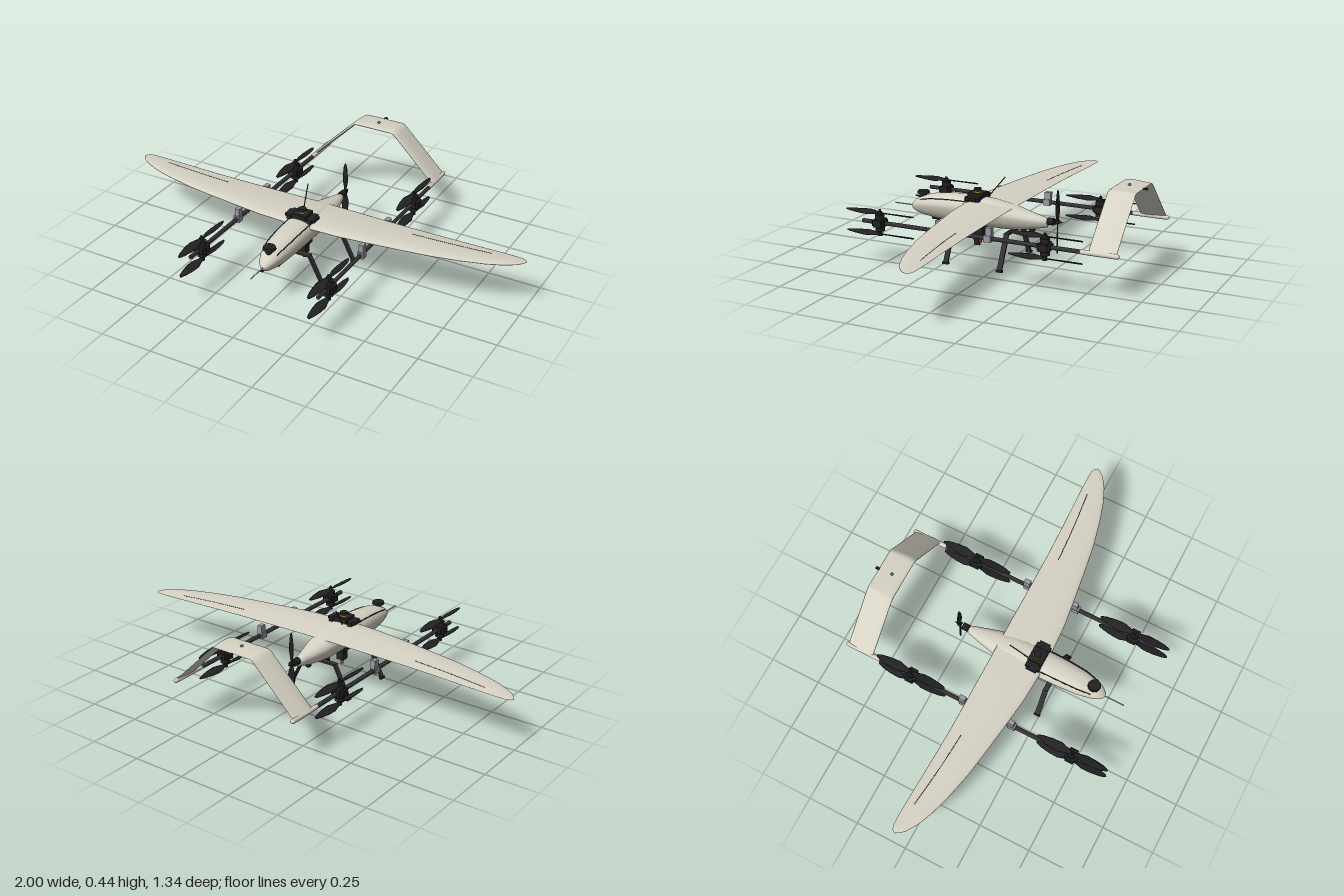
import * as THREE from 'three';

const paint = (color) => new THREE.MeshStandardMaterial({ color });
const shell = paint(0xd6d2c4), black = paint(0x222224), carbon = paint(0x333336);
const grey = paint(0xcccccc), bracketGrey = paint(0x9a9aa2);
const red = paint(0xb82a22), yellow = paint(0xd8c020), green = paint(0x2f8f55);
const V = (x, y, z) => new THREE.Vector3(x, y, z);

function add(parent, name, geometry, material, x = 0, y = 0, z = 0) {
  const mesh = new THREE.Mesh(geometry, material);
  mesh.name = name;
  mesh.position.set(x, y, z);
  parent.add(mesh);
  return mesh;
}
const box = (w, h, d) => new THREE.BoxGeometry(w, h, d);
const cyl = (r1, r2, h, n = 20) => new THREE.CylinderGeometry(r1, r2, h, n);

// Skin through closed rings of points
function loft(rings) {
  const n = rings[0].length, index = [];
  for (let i = 0; i < rings.length - 1; i++) {
    for (let j = 0; j < n; j++) {
      const a = i * n + j, b = i * n + (j + 1) % n;
      index.push(a, a + n, b, b, a + n, b + n);
    }
  }
  const g = new THREE.BufferGeometry().setFromPoints(rings.flat());
  g.setIndex(index);
  g.computeVertexNormals();
  return g;
}
const ringOf = (n, f) => Array.from({ length: n }, (_, j) => f((j / n) * Math.PI * 2));

// Straight round bar between two points
function rod(parent, name, a, b, r, material) {
  const m = add(parent, name, cyl(r, r, a.distanceTo(b), 10), material);
  m.position.copy(a).add(b).multiplyScalar(0.5);
  m.quaternion.setFromUnitVectors(V(0, 1, 0), b.clone().sub(a).normalize());
  return m;
}
const seam = (points, r = 0.0015) =>
  new THREE.TubeGeometry(new THREE.CatmullRomCurve3(points), 32, r, 5);

// Airfoil: angle 0 is the trailing edge, the first half runs over the top
function airfoil(a, thickness) {
  const u = (1 + Math.cos(a)) / 2;
  const t = 5 * thickness * (0.2969 * Math.sqrt(u) - 0.126 * u - 0.3516 * u * u + 0.2843 * u ** 3 - 0.1015 * u ** 4);
  return { u, t: a <= Math.PI ? t * 1.1 : -t * 0.9 };
}

// Fuselage stations: z, half width, bottom, top
const BODY = [
  [0.5, 0, 0.21, 0.21], [0.495, 0.016, 0.195, 0.226], [0.475, 0.032, 0.183, 0.245],
  [0.44, 0.047, 0.175, 0.264], [0.38, 0.061, 0.167, 0.281], [0.28, 0.068, 0.162, 0.292],
  [0.18, 0.07, 0.16, 0.294], [0.08, 0.07, 0.158, 0.29], [0, 0.066, 0.158, 0.278],
  [-0.06, 0.056, 0.162, 0.265], [-0.12, 0.041, 0.172, 0.25], [-0.17, 0.027, 0.183, 0.239],
  [-0.2, 0.018, 0.19, 0.232], [-0.205, 0, 0.211, 0.211],
];
function bodyPoint([z, w, lo, hi], a) {
  const c = Math.cos(a), s = Math.sin(a), mid = lo + (hi - lo) * 0.6;
  const x = w * Math.sign(c) * Math.abs(c) ** 0.8 * (1 - 0.2 * Math.max(0, -s));
  return V(x, mid + s * (s > 0 ? hi - mid : mid - lo), z);
}

// Wing stations: x, leading edge z, trailing edge z
const WING = [
  [0, 0.2, -0.04], [0.2, 0.19, -0.04], [0.33, 0.173, -0.04], [0.48, 0.152, -0.041],
  [0.62, 0.13, -0.045], [0.75, 0.1, -0.05], [0.85, 0.07, -0.054], [0.92, 0.04, -0.056],
  [0.97, 0.008, -0.055], [0.99, -0.014, -0.048], [1, -0.032, -0.034],
];
function wingPoint([x, le, te], a) {
  const { u, t } = airfoil(a, 0.12), c = le - te;
  return V(x, 0.266 - 0.01 * Math.abs(x) + t * c, le - u * c);
}

// Two-blade propeller turning about y, blades along x
function propeller(name, radius, chord) {
  const g = new THREE.Group();
  g.name = name;
  const stations = [[1, 0.05], [0.97, 0.3], [0.85, 0.6], [0.6, 0.9], [0.35, 1], [0.18, 0.65], [0.04, 0.4]];
  const blade = loft(stations.map(([f, w]) => ringOf(10, (a) => {
    const twist = 0.42 - 0.3 * f, p = -Math.cos(a) * w * chord / 2, q = Math.sin(a) * 0.003;
    return V(f * radius, q * Math.cos(twist) + p * Math.sin(twist), p * Math.cos(twist) - q * Math.sin(twist));
  })));
  for (const turn of [0, Math.PI]) add(g, 'blade', blade, black).rotation.y = turn;
  add(g, 'hub', cyl(0.01, 0.012, 0.014), black);
  return g;
}

export function createModel() {
  const model = new THREE.Group();
  model.name = 'aircraft';

  // Fuselage with canopy seams
  add(model, 'fuselage', loft(BODY.map((s) => ringOf(40, (a) => bodyPoint(s, a)))), shell);
  for (const a of [0.75, Math.PI - 0.75])
    add(model, 'canopySeam', seam(BODY.slice(3, 8).map((s) => bodyPoint(s, a)), 0.0025), black);

  // Wing, from left tip to right tip
  const stations = [...WING].reverse().concat(WING.slice(1).map(([x, l, t]) => [-x, l, t]));
  add(model, 'wing', loft(stations.map((s) => ringOf(40, (a) => wingPoint(s, a)))), shell);

  // Inverted-U tail with rounded corners: x, y, normal tilt
  const q = Math.PI / 4;
  const half = [[0.325, 0.21, q], [0.12, 0.412, q], [0.108, 0.423, q * 0.66], [0.094, 0.428, 0]];
  const path = half.concat([...half].reverse().map(([x, y, t]) => [-x, y, -t]));
  add(model, 'tail', loft(path.map(([x, y, tilt]) => ringOf(28, (a) => {
    const { u, t } = airfoil(a, 0.11), d = t * 0.13;
    return V(x + Math.sin(tilt) * d, y + Math.cos(tilt) * d, -0.53 - u * 0.128);
  }))), shell);
  add(model, 'tailLight', new THREE.SphereGeometry(0.007, 12, 8), green, 0, 0.437, -0.59);
  add(model, 'tailBeacon', box(0.012, 0.008, 0.02), black, 0, 0.426, -0.664);

  for (const s of [1, -1]) {
    // Aileron seam, wing hatch
    const hinge = WING.slice(3, 7).map((w) => wingPoint([s * w[0], w[1], w[2]], 1.15));
    add(model, 'aileronSeam', seam(hinge, 0.0012), black);
    add(model, 'wingHatch', box(0.08, 0.004, 0.07), black, s * 0.13, 0.253, 0.07);

    // Boom with tail fairing
    const boom = new THREE.Group();
    boom.name = s > 0 ? 'leftBoom' : 'rightBoom';
    boom.position.set(s * 0.32, 0.21, 0);
    model.add(boom);
    rod(boom, 'boomTube', V(0, 0, 0.58), V(0, 0, -0.5), 0.01, carbon);
    add(boom, 'tailFairing', new THREE.CapsuleGeometry(0.011, 0.16, 6, 16), shell, 0, 0, -0.58).rotation.x = Math.PI / 2;

    // Wing brackets
    for (const z of [0.19, -0.058]) {
      add(boom, 'bracketClamp', box(0.03, 0.03, 0.035), bracketGrey, 0, 0, z);
      add(boom, 'bracketPost', box(0.022, 0.06, 0.03), bracketGrey, 0, 0.02, z - 0.005);
    }

    // Stacked lift rotors
    for (const z of [0.49, -0.33]) {
      add(boom, 'motorMount', box(0.044, 0.028, 0.06), black, 0, 0, z);
      for (const x of [-0.025, 0.025]) add(boom, 'mountClamp', box(0.012, 0.034, 0.04), black, x, 0, z);
      for (const side of [1, -1]) {
        add(boom, 'motorBase', cyl(0.018, 0.018, 0.01), black, 0, side * 0.018, z);
        add(boom, 'motorBell', cyl(0.022, 0.022, 0.016), black, 0, side * 0.03, z);
        add(boom, 'motorShaft', cyl(0.006, 0.006, 0.03), black, 0, side * 0.047, z);
        const prop = propeller('liftPropeller', 0.176, 0.046);
        prop.position.set(0, side > 0 ? 0.046 : -0.054, z);
        prop.rotation.y = Math.PI / 2;
        boom.add(prop);
      }
    }

    // Splayed landing legs
    for (const z of [0.24, -0.035]) {
      const a = V(s * 0.085, 0.158, z), b = V(s * 0.16, 0.008, z);
      const leg = add(model, 'landingLeg', box(0.008, a.distanceTo(b), 0.024), carbon);
      leg.position.copy(a).add(b).multiplyScalar(0.5);
      leg.rotation.z = s * Math.atan2(0.075, 0.15);
      add(model, 'foot', box(0.014, 0.01, 0.03), black, s * 0.161, 0.005, z);
    }
  }
  for (const z of [0.24, -0.035]) add(model, 'legCrossbar', box(0.18, 0.009, 0.024), carbon, 0, 0.158, z);

  // Pusher motor and propeller
  add(model, 'pusherMotor', cyl(0.017, 0.017, 0.03), black, 0, 0.22, -0.218).rotation.x = Math.PI / 2;
  const pusher = propeller('pusherPropeller', 0.15, 0.034);
  pusher.position.set(0, 0.222, -0.25);
  pusher.rotation.set(Math.PI / 2, Math.PI / 2, 0);
  model.add(pusher);
  add(model, 'spinner', new THREE.ConeGeometry(0.014, 0.036, 20), black, 0, 0.222, -0.26).rotation.x = -Math.PI / 2;

  // Dorsal sensor unit
  add(model, 'sensorBase', box(0.15, 0.012, 0.05), black, 0, 0.296, 0.155);
  for (const s of [1, -1]) add(model, 'sensorSide', box(0.022, 0.02, 0.07), black, s * 0.052, 0.293, 0.155);
  add(model, 'sensorBody', box(0.07, 0.026, 0.07), black, 0, 0.302, 0.155);
  add(model, 'sensorBand', cyl(0.019, 0.019, 0.008), yellow, 0, 0.316, 0.153);
  add(model, 'sensorCap', cyl(0.018, 0.018, 0.014), black, 0, 0.327, 0.153);
  rod(model, 'antenna', V(-0.02, 0.285, 0.115), V(-0.04, 0.39, 0.032), 0.0025, black);

  // Nose antenna disc and air probe
  add(model, 'discStem', cyl(0.014, 0.018, 0.03), black, 0, 0.264, 0.44);
  add(model, 'noseDisc', cyl(0.027, 0.03, 0.012, 28), black, 0, 0.282, 0.44);
  rod(model, 'airProbe', V(0, 0.21, 0.49), V(0, 0.21, 0.595), 0.003, grey);

  // Belly camera and rear sensor
  add(model, 'cameraMount', box(0.055, 0.02, 0.055), black, 0, 0.156, 0.14);
  add(model, 'cameraBody', box(0.036, 0.055, 0.036), black, 0, 0.125, 0.14);
  add(model, 'cameraTip', cyl(0.008, 0.007, 0.028), red, 0, 0.087, 0.14);
  add(model, 'rearSensor', new THREE.SphereGeometry(0.015, 16, 12), black, 0, 0.17, -0.125);
  add(model, 'bellyPlate', box(0.03, 0.008, 0.04), black, 0, 0.163, 0.37);
  return model;
}
